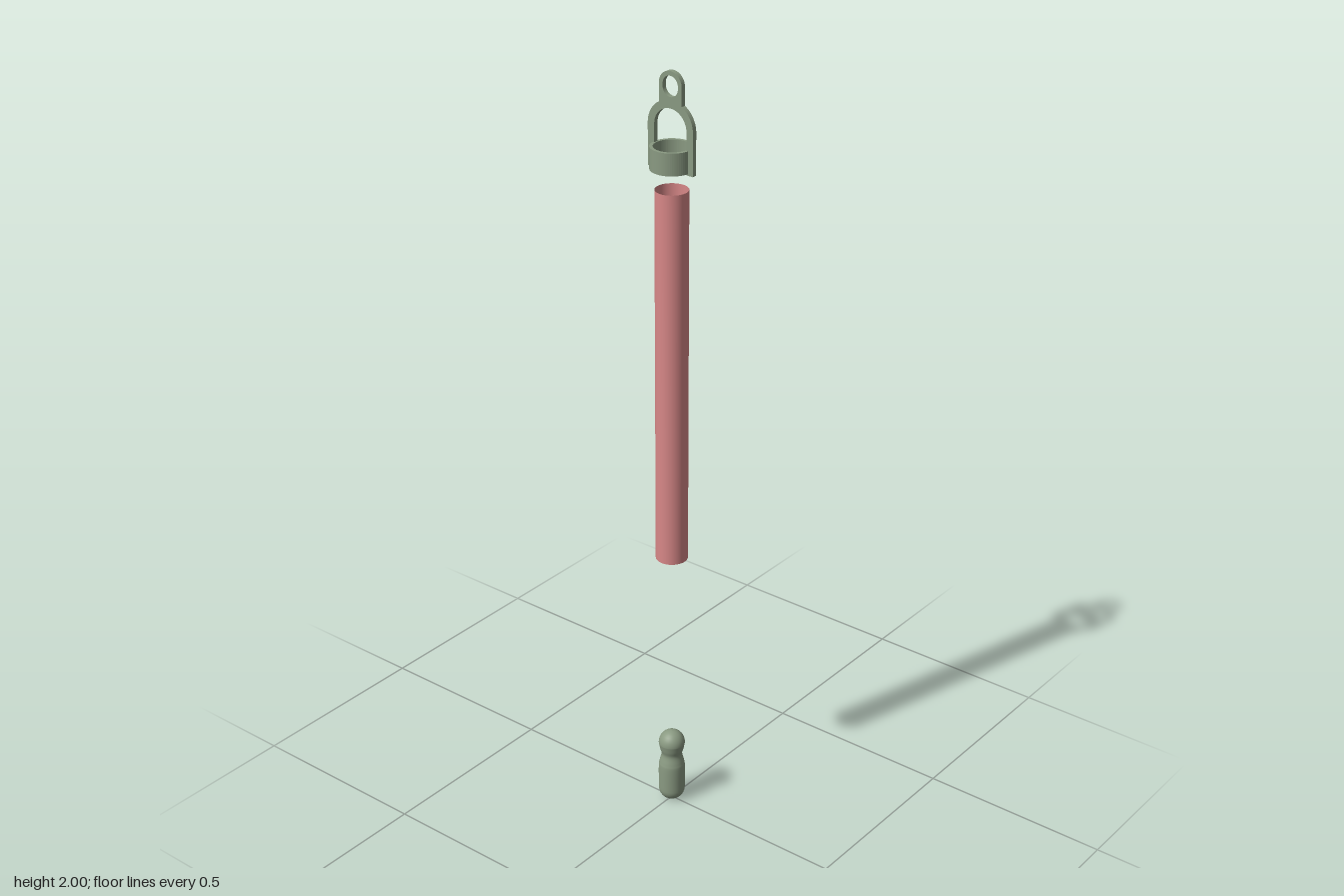
import * as THREE from 'three';

const metal = new THREE.MeshStandardMaterial({ color: 0x8a9a82 });
const pink = new THREE.MeshStandardMaterial({ color: 0xd88888, side: THREE.DoubleSide });

function addPart(group, name, geometry, material) {
  const mesh = new THREE.Mesh(geometry, material);
  mesh.name = name;
  group.add(mesh);
  return mesh;
}

// Flat strap: two arms joined by an arch, with a hanging eye on top
function hangerGeometry() {
  const outer = 0.066, inner = 0.047, arch = 1.865, foot = 1.762;
  const eye = 0.033, eyeY = 1.967, hole = 0.022;
  const a = Math.acos(eye / outer);
  const s = new THREE.Shape();
  s.moveTo(outer, foot);
  s.lineTo(outer, arch);
  s.absarc(0, arch, outer, 0, a, false);
  s.lineTo(eye, eyeY);
  s.absarc(0, eyeY, eye, 0, Math.PI, false);
  s.absarc(0, arch, outer, Math.PI - a, Math.PI, false);
  s.lineTo(-outer, foot);
  s.lineTo(-inner, foot);
  s.absarc(0, arch, inner, Math.PI, 0, true);
  s.lineTo(inner, foot);
  s.closePath();
  const h = new THREE.Path();
  h.absarc(0, eyeY, hole, 0, Math.PI, false);
  h.absarc(0, eyeY - 0.006, hole, Math.PI, Math.PI * 2, false);
  h.closePath();
  s.holes.push(h);
  return new THREE.ExtrudeGeometry(s, { depth: 0.012, bevelEnabled: false, curveSegments: 24 })
    .translate(0, 0, -0.006);
}

// Short hollow collar with square edges
function collarGeometry(outer, inner, height) {
  const s = new THREE.Shape().absarc(0, 0, outer, 0, Math.PI * 2, false);
  s.holes.push(new THREE.Path().absarc(0, 0, inner, 0, Math.PI * 2, true));
  return new THREE.ExtrudeGeometry(s, { depth: height, bevelEnabled: false, curveSegments: 32 })
    .rotateX(-Math.PI / 2);
}

// Rounded weight with a soft waist, turned from a smooth profile
function weightGeometry() {
  const r = 0.0345, pts = [];
  for (let i = 0; i <= 8; i++) {
    const t = (i / 8) * Math.PI / 2;
    pts.push(new THREE.Vector2(r * Math.sin(t), 0.034 - 0.034 * Math.cos(t)));
  }
  const waist = new THREE.SplineCurve([
    [r, 0.034], [r, 0.1], [0.032, 0.118], [0.027, 0.14], [0.031, 0.157], [r, 0.175],
  ].map(([x, y]) => new THREE.Vector2(x, y)));
  pts.push(...waist.getPoints(24).slice(1));
  for (let i = 1; i <= 8; i++) {
    const t = (i / 8) * Math.PI / 2;
    pts.push(new THREE.Vector2(i === 8 ? 0 : r * Math.cos(t), 0.175 + 0.035 * Math.sin(t)));
  }
  return new THREE.LatheGeometry(pts, 40);
}

export function createModel() {
  const group = new THREE.Group();
  group.name = 'hangingTube';
  addPart(group, 'hanger', hangerGeometry(), metal);
  addPart(group, 'collar', collarGeometry(0.052, 0.044, 0.055), metal).position.y = 1.766;
  // Thin open sleeve
  addPart(group, 'sleeve', new THREE.CylinderGeometry(0.0405, 0.0405, 0.98, 48, 1, true), pink)
    .position.y = 1.225;
  addPart(group, 'weight', weightGeometry(), metal);
  return group;
}
